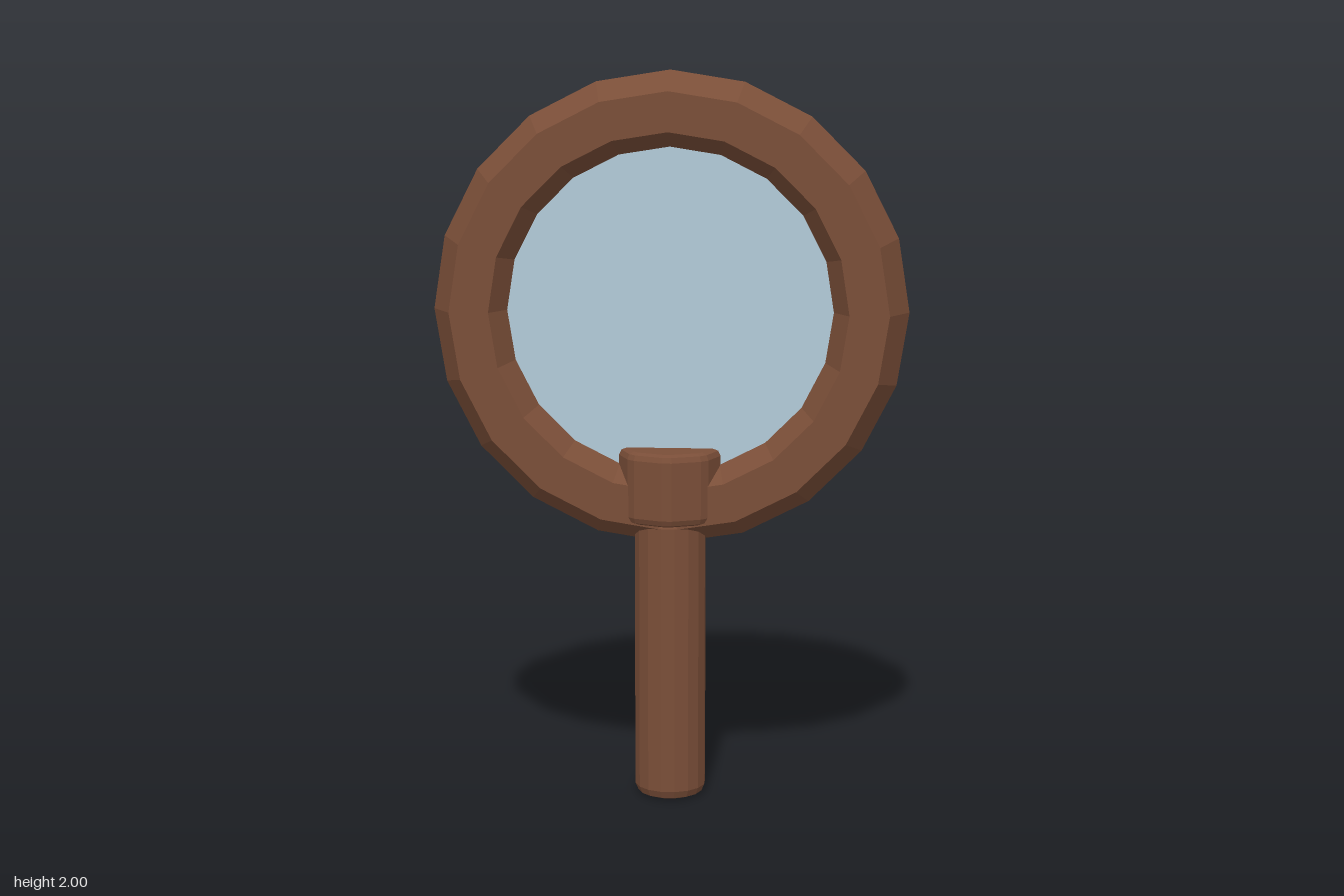
import * as THREE from 'three';

const wood = new THREE.MeshStandardMaterial({ color: 0x7a4e38 });
wood.name = 'brown wood';
const glass = new THREE.MeshStandardMaterial({ color: 0xb2cbd9 });
glass.name = 'pale blue glass';

const RING_Y = 1.357;

// Separate the faces so every facet is shaded flat
function faceted(geometry) {
  const flat = geometry.toNonIndexed();
  flat.computeVertexNormals();
  return flat;
}

// Upright octagonal post with chamfered corners and rounded ends
function octagonPost(radius, chamfer, bottom, top, bevel) {
  const corner = (i) => new THREE.Vector2(Math.cos(i * Math.PI / 4), Math.sin(i * Math.PI / 4)).multiplyScalar(radius);
  const points = [];
  for (let i = 0; i < 8; i++) {
    points.push(corner(i).lerp(corner(i - 1), chamfer), corner(i).lerp(corner(i + 1), chamfer));
  }
  const geometry = new THREE.ExtrudeGeometry(new THREE.Shape(points), {
    depth: top - bottom - 2 * bevel,
    bevelThickness: bevel,
    bevelSize: bevel,
    bevelOffset: -bevel,
    bevelSegments: 2,
  });
  geometry.rotateX(-Math.PI / 2);
  geometry.translate(0, bottom + bevel, 0);
  return geometry;
}

export function createModel() {
  const group = new THREE.Group();
  group.name = 'magnifyingGlass';

  const add = (name, geometry, material) => {
    const mesh = new THREE.Mesh(geometry, material);
    mesh.name = name;
    group.add(mesh);
    return mesh;
  };

  // Hexagonal-section rim
  add('rim', faceted(new THREE.TorusGeometry(0.537, 0.107, 6, 20)), wood).position.y = RING_Y;

  // Lens, its edge buried in the rim
  const lens = new THREE.CylinderGeometry(0.47, 0.47, 0.04, 40);
  lens.rotateX(Math.PI / 2);
  add('lens', lens, glass).position.y = RING_Y;

  // Handle and the collar that joins it to the rim
  add('handle', octagonPost(0.104, 0.25, 0, 0.8, 0.028), wood);
  add('collar', octagonPost(0.147, 0.13, 0.783, 0.982, 0.02), wood);

  return group;
}
